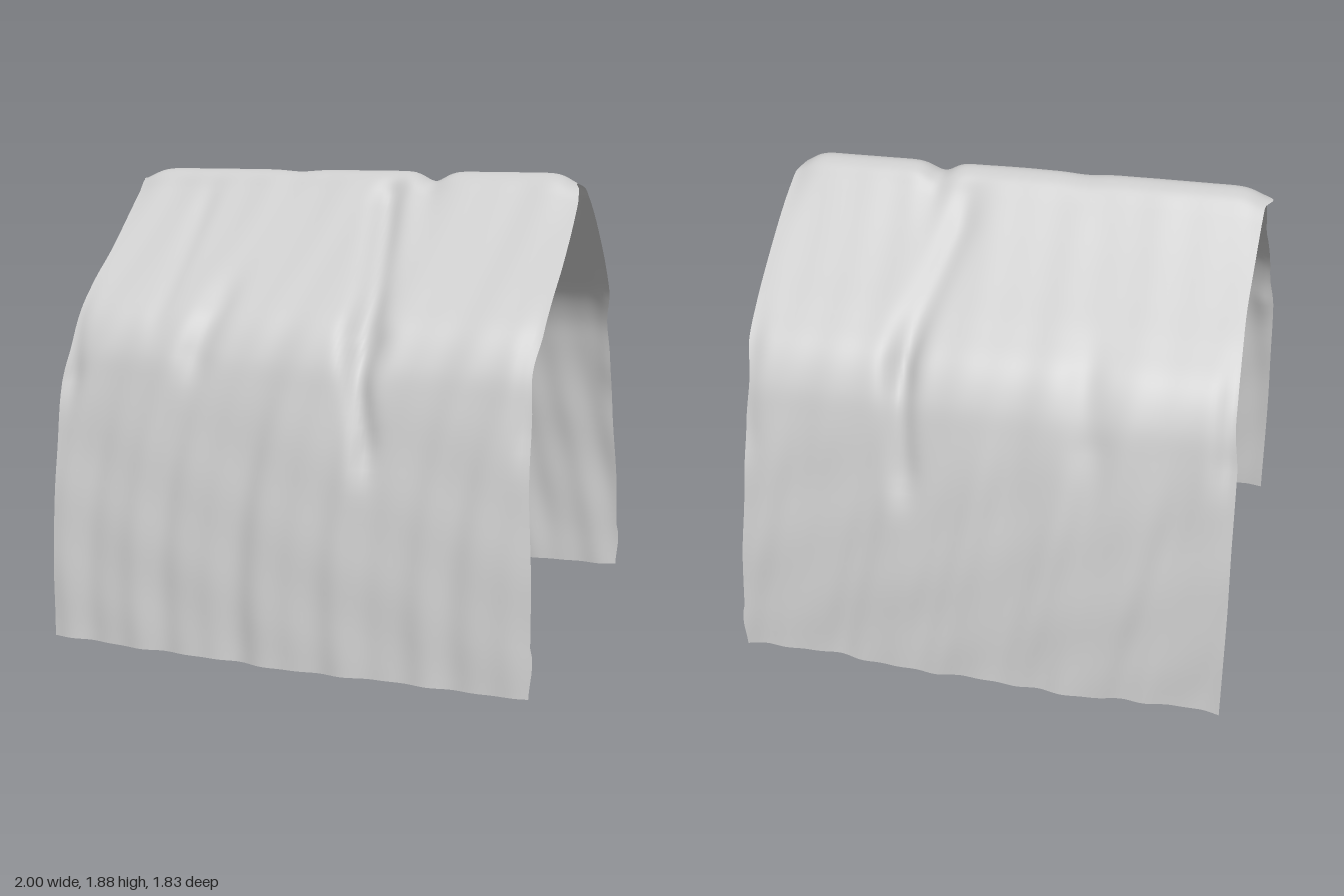
import * as THREE from 'three';

// Half cross-section from ridge to hem: z, y, left edge x, right edge x
const HALF = [
  [0, 1.883, -0.995, 0.94], [0.06, 1.865, -0.97, 0.96], [0.12, 1.8, -0.965, 0.97],
  [0.25, 1.675, -0.96, 0.975], [0.4, 1.55, -0.955, 0.975], [0.55, 1.435, -0.96, 0.97],
  [0.67, 1.33, -0.965, 0.965], [0.745, 1.2, -0.97, 0.945], [0.785, 1.05, -0.99, 0.955],
  [0.835, 0.75, -0.995, 0.965], [0.87, 0.45, -1, 0.985], [0.885, 0.2, -1, 0.99],
  [0.893, 0.005, -1, 0.99],
];

// Creases pressed into the cloth: side (1 front, -1 back), x and y of both ends, width, depth
const CREASES = [
  [1, 0.19, 1.76, 0.31, 1.28, 0.06, 0.04],
  [1, 0.25, 1.3, 0.33, 0.9, 0.05, 0.035],
  [1, -0.36, 1.36, -0.4, 1.2, 0.07, 0.025],
  [1, -0.62, 1.7, -0.6, 1.4, 0.05, 0.012],
  [-1, 0.22, 1.7, 0.33, 1.3, 0.06, 0.025],
  [-1, 0.33, 1.32, 0.3, 0.9, 0.06, 0.04],
  [-1, -0.4, 1.3, -0.42, 1.1, 0.07, 0.02],
  [1, -0.97, 1.3, -0.95, 1.1, 0.05, 0.025],
  [-1, -0.95, 1.3, -0.95, 1.1, 0.05, 0.025],
  [1, 0.95, 1.28, 0.95, 1.0, 0.05, 0.02],
  [-1, 0.95, 1.28, 0.95, 1.0, 0.05, 0.02],
];

const bump = (d, w) => Math.exp(-(d * d) / (w * w));
const smooth = THREE.MathUtils.smoothstep;

// Depth of all creases at one point of the sheet
function creaseDepth(side, x, y) {
  let depth = 0;
  for (const [s, x0, y0, x1, y1, width, amount] of CREASES) {
    if (s !== side) continue;
    const t = THREE.MathUtils.clamp((y - y0) / (y1 - y0), 0, 1);
    const dx = x - (x0 + (x1 - x0) * t);
    const dy = y - (y0 + (y1 - y0) * t);
    depth += amount * bump(dx, width) * bump(dy, 0.12);
  }
  return depth;
}

// Hanging folds of the walls, slightly slanted and wider toward the hem
function folds(side, x, y) {
  const s = x - 0.12 * y * side;
  const wide = 0.013 * Math.cos(3.6 * s + (side > 0 ? 0 : 0.5)) + 0.007 * Math.sin(9 * s + side);
  const fine = 0.006 * Math.sin(21 * s + 2 * side + 2 * Math.sin(2.4 * y))
    + 0.004 * Math.sin(37 * x + 5 * Math.sin(1.7 * y + side))
    + 0.003 * Math.sin(13 * x + 8 * y) * Math.sin(9 * y - 5 * x);
  return (wide + fine) * (0.25 + 0.75 * (1 - smooth(y, 0.7, 1.4)));
}

function drapedSheet() {
  const rows = [...HALF.slice(1).reverse().map(([z, ...r]) => [-z, ...r]), ...HALF];
  const section = new THREE.CatmullRomCurve3(rows.map(([z, y]) => new THREE.Vector3(0, y, z)));
  const edges = new THREE.CatmullRomCurve3(rows.map((r) => new THREE.Vector3(r[2], r[3], 0)));

  const geometry = new THREE.PlaneGeometry(2, 2, 120, 144);
  const pos = geometry.attributes.position;
  for (let i = 0; i < pos.count; i++) {
    const u = (pos.getX(i) + 1) / 2;
    const t = (1 - pos.getY(i)) / 2;
    const p = section.getPoint(t);
    const tangent = section.getTangent(t);
    const edge = edges.getPoint(t);
    const side = t < 0.5 ? -1 : 1;
    const x = edge.x + (edge.y - edge.x) * u;

    // Push along the outward normal of the cross-section, fading out at the ridge
    const fade = smooth(Math.abs(p.z), 0, 0.15);
    const push = (folds(side, x, p.y) - creaseDepth(side, x, p.y)) * fade;

    // The ridge sags at both ends and beside the main crease
    const ridge = bump(p.z, 0.16);
    const sag = ridge * (0.045 * bump(x + 1, 0.08) + 0.05 * bump(x - 0.97, 0.07)
      + 0.04 * bump(x - 0.35, 0.06) + 0.008 * bump(x + 0.25, 0.08));

    pos.setXYZ(i, x, Math.max(0, p.y + tangent.z * push - sag), p.z - tangent.y * push);
  }
  geometry.computeVertexNormals();
  return geometry;
}

export function createModel() {
  const group = new THREE.Group();
  group.name = 'drapedClothTent';
  const material = new THREE.MeshStandardMaterial({ color: 0xcccccc, side: THREE.DoubleSide });
  const cloth = new THREE.Mesh(drapedSheet(), material);
  cloth.name = 'clothSheet';
  group.add(cloth);
  return group;
}
